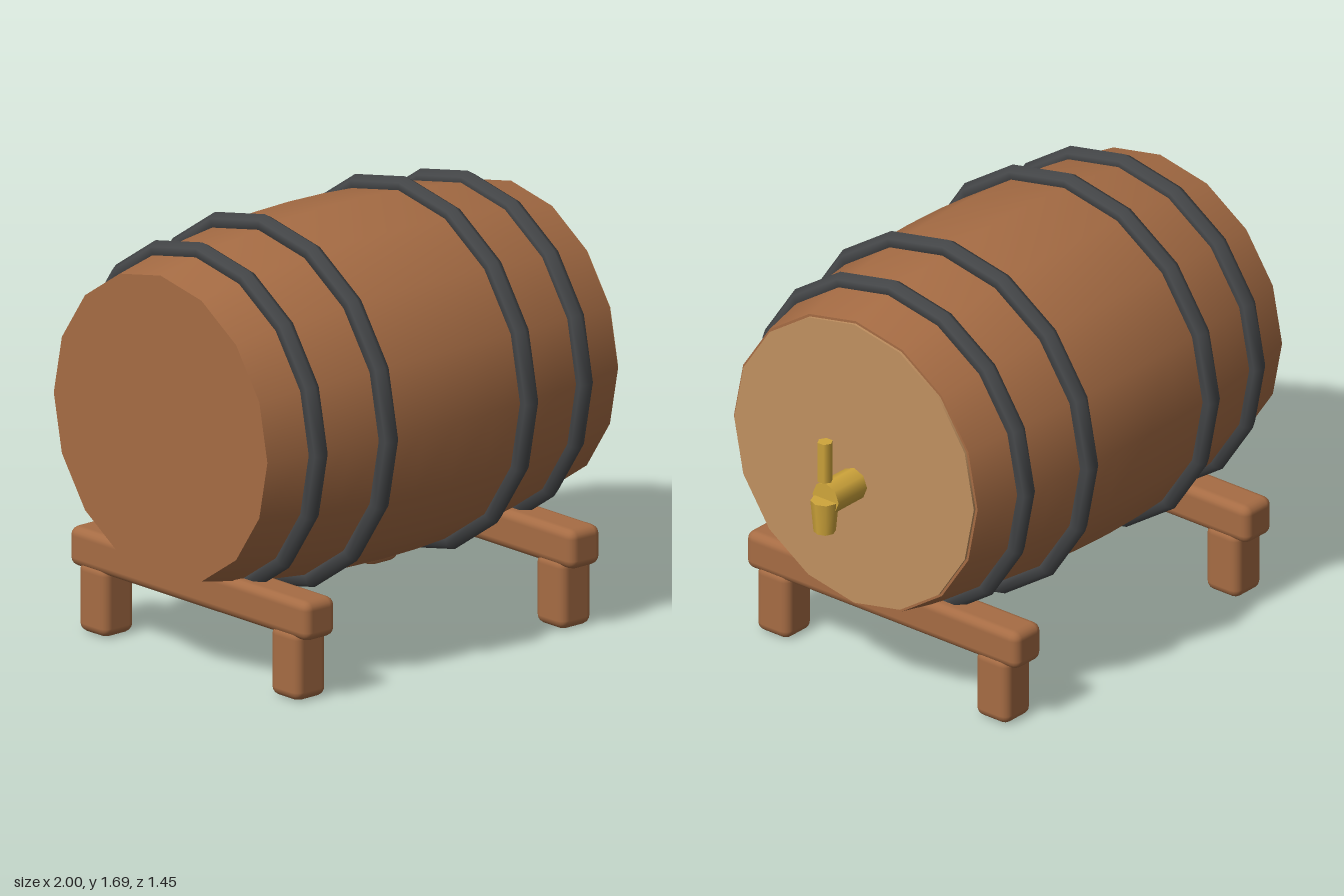
import * as THREE from 'three';
import { RoundedBoxGeometry } from 'three/addons/geometries/RoundedBoxGeometry.js';

const SIDES = 16;
const AXIS_Y = 0.965;
const X_BACK = -1, X_FRONT = 0.765;
const X_MID = (X_BACK + X_FRONT) / 2, HALF = (X_FRONT - X_BACK) / 2;
const R_END = 0.595, R_MID = 0.69;

function material(name, color) {
  const m = new THREE.MeshStandardMaterial({ color });
  m.name = name;
  return m;
}

export function createModel() {
  const model = new THREE.Group();
  model.name = 'barrelOnStand';

  const wood = material('brown wood', 0xa66c44);
  const paleWood = material('pale wood', 0xc09060);
  const iron = material('dark iron', 0x454749);
  const brass = material('brass', 0xcfa53b);

  function add(name, geometry, mat, x, y, z, parent = model) {
    const mesh = new THREE.Mesh(geometry, mat);
    mesh.name = name;
    mesh.position.set(x, y, z);
    parent.add(mesh);
    return mesh;
  }

  // Bulging staves, turned around the x axis
  const profile = [];
  for (let i = 0; i <= 10; i++) {
    const u = i / 5 - 1;
    profile.push(new THREE.Vector2(R_END + (R_MID - R_END) * (1 - u * u), u * HALF));
  }
  const body = new THREE.LatheGeometry(profile, SIDES).rotateZ(-Math.PI / 2);
  add('barrelBody', body, wood, X_MID, AXIS_Y, 0);

  // Flat ends and the pale front head
  const end = new THREE.CircleGeometry(R_END, SIDES);
  add('backEnd', end.clone().rotateY(-Math.PI / 2), wood, X_BACK, AXIS_Y, 0);
  add('frontEnd', end.clone().rotateY(Math.PI / 2), wood, X_FRONT, AXIS_Y, 0);
  const head = new THREE.CylinderGeometry(0.585, 0.585, 0.02, SIDES).rotateZ(-Math.PI / 2);
  add('frontHead', head, paleWood, X_FRONT, AXIS_Y, 0);

  // Iron hoops with a six-sided section
  for (const [x, radius] of [[-0.79, 0.643], [-0.475, 0.687], [0.23, 0.687], [0.545, 0.643]]) {
    const hoop = new THREE.TorusGeometry(radius, 0.038, 6, SIDES).rotateY(Math.PI / 2);
    add('hoop', hoop, iron, x, AXIS_Y, 0);
  }

  // Two cradles: a cross beam on two short legs
  for (const x of [-0.79, 0.545]) {
    const cradle = new THREE.Group();
    cradle.name = 'cradle';
    cradle.position.x = x;
    model.add(cradle);
    add('crossBeam', new RoundedBoxGeometry(0.155, 0.155, 1.33, 2, 0.035), wood, 0, 0.3225, 0, cradle);
    for (const side of [-1, 1]) {
      add('leg', new RoundedBoxGeometry(0.155, 0.275, 0.16, 2, 0.035), wood, 0, 0.1375, side * 0.535, cradle);
    }
  }

  // Tap: pipe, tapered spout and handle
  const tap = new THREE.Group();
  tap.name = 'tap';
  model.add(tap);
  const pipe = new THREE.CylinderGeometry(0.064, 0.064, 0.18, 8).rotateZ(-Math.PI / 2);
  add('tapPipe', pipe, brass, 0.85, 0.883, 0, tap);
  add('tapSpout', new THREE.CylinderGeometry(0.054, 0.042, 0.13, 8), brass, 0.945, 0.815, 0, tap);
  add('tapHandle', new THREE.CylinderGeometry(0.03, 0.03, 0.163, 6), brass, 0.943, 1.043, 0, tap);

  return model;
}
